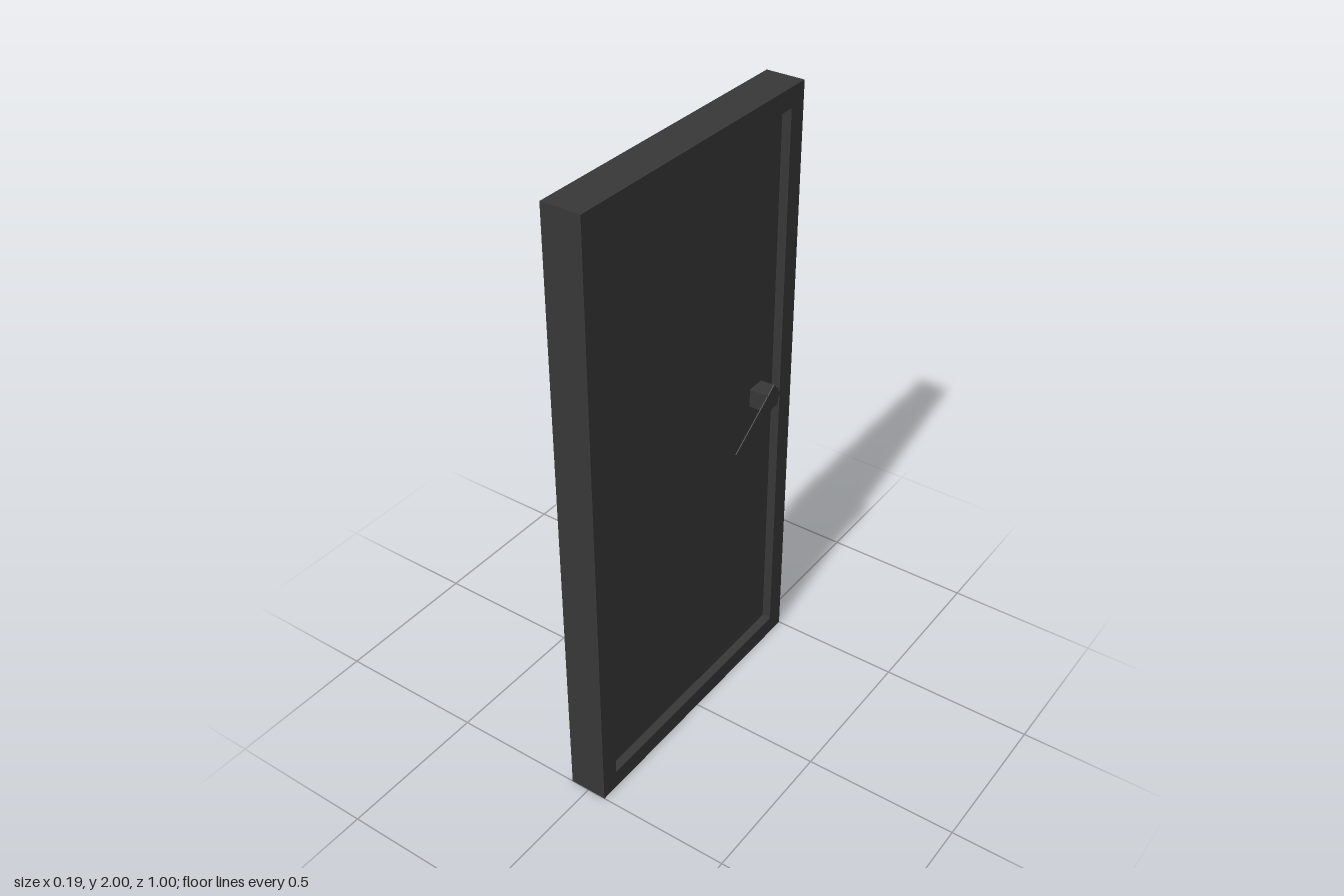
import * as THREE from 'three';

export function createModel() {
  const door = new THREE.Group();
  door.name = 'door';
  const charcoal = new THREE.MeshStandardMaterial({ color: 0x383838 });
  charcoal.name = 'charcoal';

  const add = (name, geometry, x, y, z, parent = door) => {
    const mesh = new THREE.Mesh(geometry, charcoal);
    mesh.name = name;
    mesh.position.set(x, y, z);
    parent.add(mesh);
    return mesh;
  };

  const thickness = 0.125, border = 0.0625, recess = 0.03;

  // Frame: a rectangle with a rectangular opening, extruded across the door's thickness
  const outline = new THREE.Shape([[-0.5, 0], [0.5, 0], [0.5, 2], [-0.5, 2]]
    .map(([a, b]) => new THREE.Vector2(a, b)));
  const inner = 0.5 - border;
  outline.holes.push(new THREE.Path([[-inner, border], [-inner, 2 - border], [inner, 2 - border], [inner, border]]
    .map(([a, b]) => new THREE.Vector2(a, b))));
  const frame = new THREE.ExtrudeGeometry(outline, { depth: thickness, bevelEnabled: false });
  frame.translate(0, 0, -thickness / 2).rotateY(Math.PI / 2);
  add('frame', frame, 0, 0, 0);

  // Recessed panel filling the opening
  add('panel', new THREE.BoxGeometry(thickness - 2 * recess, 2 - 2 * border, 2 * inner), 0, 1, 0);

  // Matching handle on each face: square spindle and thin sloping lever
  for (const side of [-1, 1]) {
    const handle = new THREE.Group();
    handle.name = side > 0 ? 'leftHandle' : 'rightHandle';
    door.add(handle);
    const start = thickness / 2 - recess, end = 0.095;
    add('spindle', new THREE.BoxGeometry(end - start, 0.0625, 0.0625),
      side * (start + end) / 2, 1.031, -0.344, handle);
    const lever = add('lever', new THREE.BoxGeometry(0.003, 0.0625, 0.25),
      side * 0.0957, 0.9875, -0.265, handle);
    lever.rotation.x = THREE.MathUtils.degToRad(35);
  }
  return door;
}
